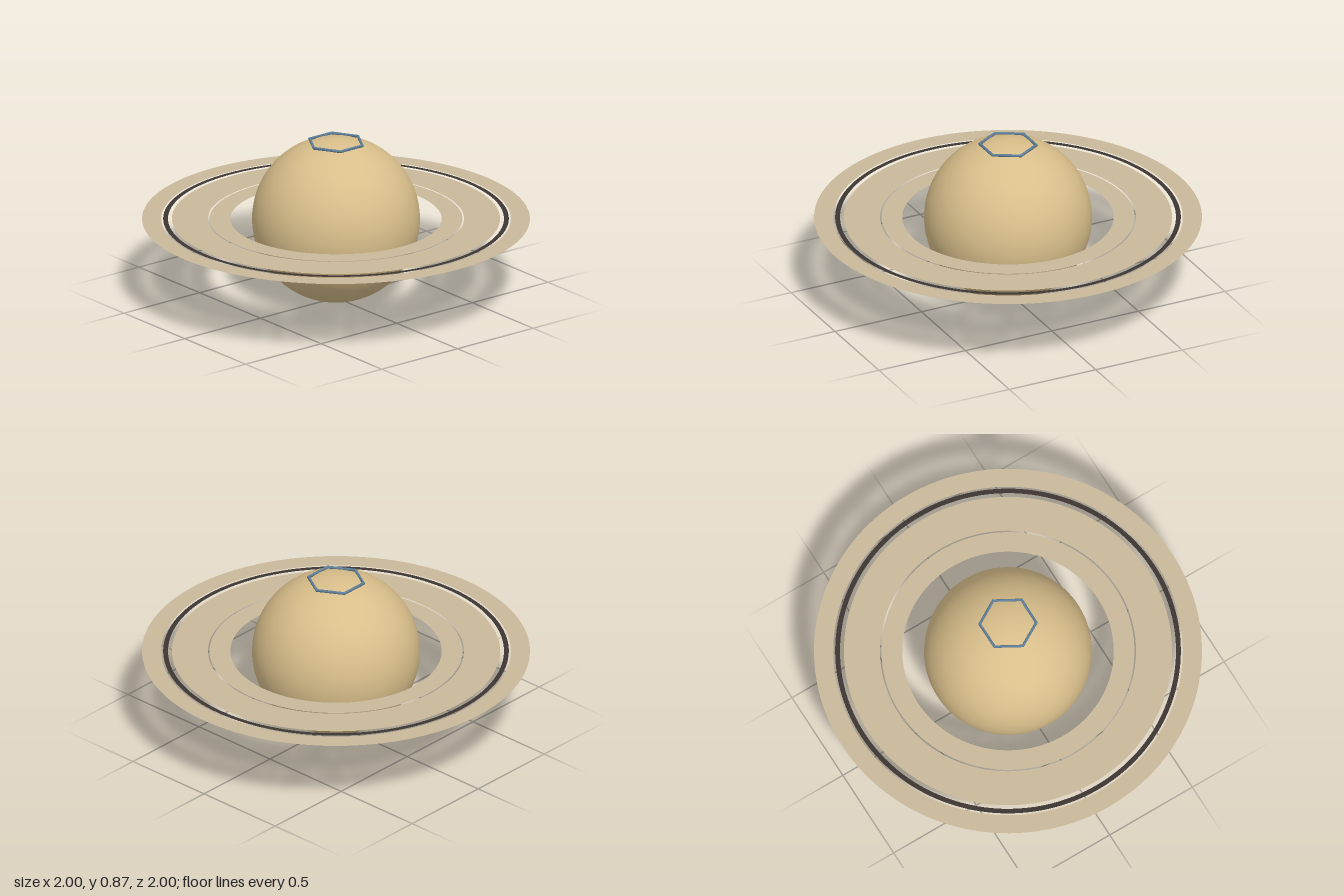
import * as THREE from 'three';

export function createModel() {
  const model = new THREE.Group();
  model.name = 'ringedPlanet';
  const R = 0.433;

  const makeMaterial = (name, color, side = THREE.FrontSide) => {
    const m = new THREE.MeshStandardMaterial({ color, side });
    m.name = name;
    return m;
  };
  const sand = makeMaterial('planet sand', 0xd8be8a);
  const dust = makeMaterial('ring dust', 0xc9b99b, THREE.DoubleSide);
  const dark = makeMaterial('dark division', 0x3d3532, THREE.DoubleSide);
  const blue = makeMaterial('polar blue', 0x5f7f99);

  const add = (name, geometry, material, y) => {
    const mesh = new THREE.Mesh(geometry, material);
    mesh.name = name;
    mesh.position.y = y;
    model.add(mesh);
    return mesh;
  };

  // Planet body
  add('planet', new THREE.SphereGeometry(R, 64, 48), sand, R);

  // Flat concentric rings around the equator
  const rings = [
    ['innerRing', 0.545, 0.652, dust],
    ['middleRing', 0.66, 0.846, dust],
    ['darkDivision', 0.866, 0.891, dark],
    ['outerRing', 0.901, 1.0, dust],
  ];
  for (const [name, inner, outer, material] of rings) {
    add(name, new THREE.RingGeometry(inner, outer, 128).rotateX(-Math.PI / 2), material, R);
  }

  // Six-sided band around the north pole
  add('polarHexagon', new THREE.TorusGeometry(0.146, 0.008, 8, 6).rotateX(-Math.PI / 2), blue, 0.851);

  return model;
}
